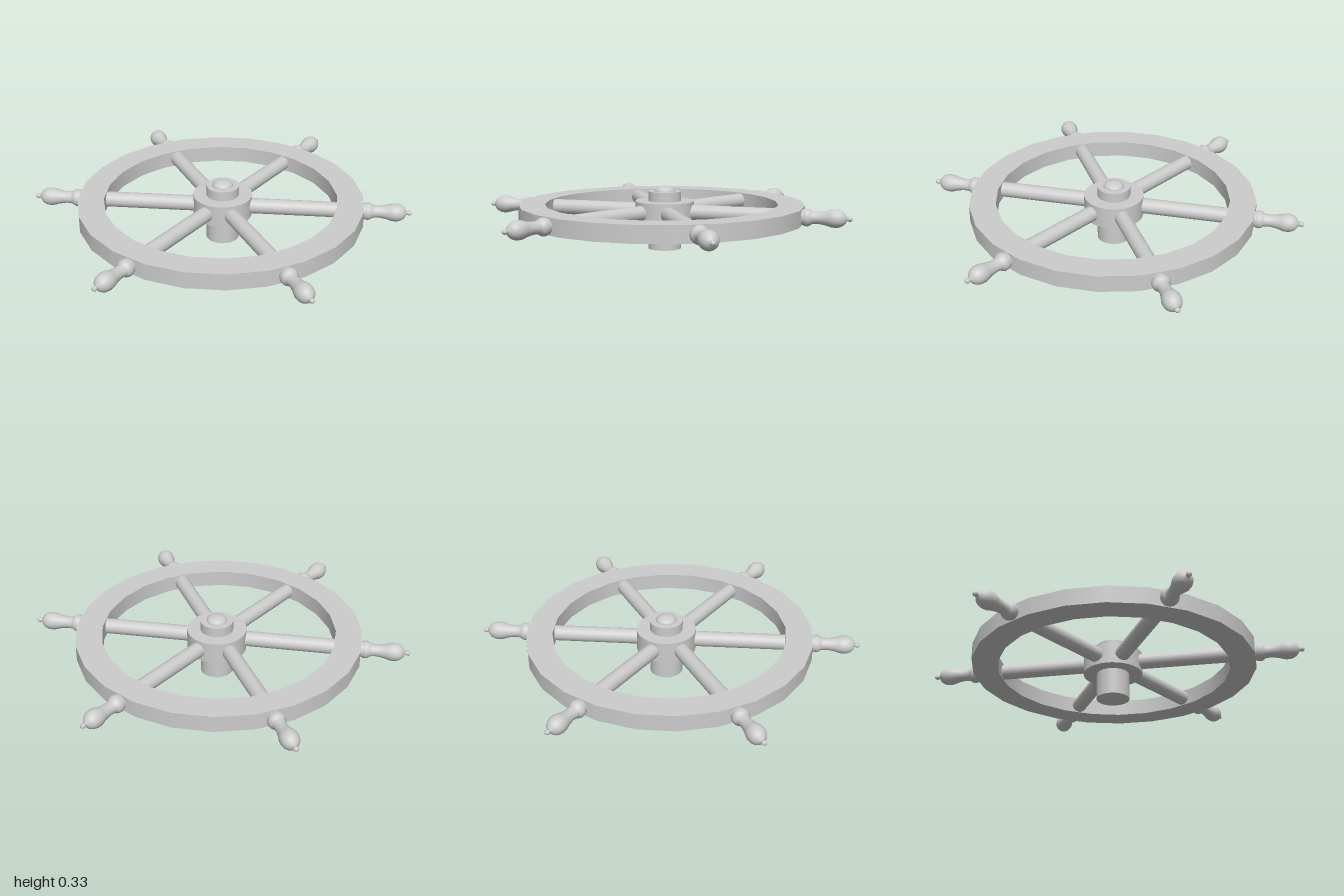
import * as THREE from 'three';

const AXIS_Y = 0.197;   // height of the wheel's mid-plane
const HUB_X = 0.017;    // the hub sits slightly off centre

export function createModel() {
  const group = new THREE.Group();
  const material = new THREE.MeshStandardMaterial({ color: 0xcccccc });

  const add = (name, geometry, parent = group) => {
    const mesh = new THREE.Mesh(geometry, material);
    mesh.name = name;
    parent.add(mesh);
    return mesh;
  };
  const points = (list) => list.map(([r, y]) => new THREE.Vector2(r, y));
  const cylinder = (name, r, y0, y1) => {
    const mesh = add(name, new THREE.CylinderGeometry(r, r, y1 - y0, 32));
    mesh.position.set(HUB_X, (y0 + y1) / 2, 0);
  };

  // Flat rim: inner and outer walls, then the two ring faces
  const rim = new THREE.Group();
  rim.name = 'rim';
  group.add(rim);
  const inner = 0.61, outer = 0.747, bottom = 0.154, top = 0.241, sides = 24;
  const start = Math.PI / sides;
  const ringPart = (name, a, b) =>
    add(name, new THREE.LatheGeometry(points([a, b]), sides, start), rim);
  ringPart('rimOuterWall', [outer, bottom], [outer, top]);
  ringPart('rimTop', [outer, top], [inner, top]);
  ringPart('rimInnerWall', [inner, top], [inner, bottom]);
  ringPart('rimBottom', [inner, bottom], [outer, bottom]);

  // Hub, the shaft through it and the domed cap
  cylinder('hub', 0.155, 0.14, 0.253);
  cylinder('shaft', 0.086, 0, 0.304);
  const dome = add('cap', new THREE.SphereGeometry(0.054, 24, 10, 0, Math.PI * 2, 0, Math.PI / 2));
  dome.scale.y = 0.52;
  dome.position.set(HUB_X, 0.303, 0);

  // Turned handle: collar, neck, bulbous grip and a small end knob
  const collar = [[0.04, 0.7], [0.04, 0.745], [0.045, 0.755], [0.046, 0.77], [0.041, 0.782], [0.034, 0.79]];
  const grip = new THREE.SplineCurve(points([
    [0.034, 0.79], [0.031, 0.82], [0.037, 0.86], [0.046, 0.893],
    [0.045, 0.925], [0.032, 0.95], [0.009, 0.966],
  ])).getPoints(24);
  const knob = [[0.009, 0.967], [0.013, 0.975], [0.013, 0.983], [0.008, 0.99], [0, 0.992]];
  const handleGeometry = new THREE.LatheGeometry(
    [...points(collar), ...grip.slice(1), ...points(knob)], 24);
  const spokeGeometry = new THREE.CylinderGeometry(0.04, 0.04, 0.62, 24, 1, true);
  spokeGeometry.translate(0, 0.39, 0);

  // Six spokes, each carrying a handle beyond the rim
  for (let i = 0; i < 6; i++) {
    const arm = new THREE.Group();
    arm.name = 'spokeAndHandle' + (i + 1);
    add('spoke', spokeGeometry, arm);
    add('handle', handleGeometry, arm);
    arm.position.y = AXIS_Y;
    arm.rotation.set(0, i * Math.PI / 3, -Math.PI / 2);
    group.add(arm);
  }
  return group;
}
